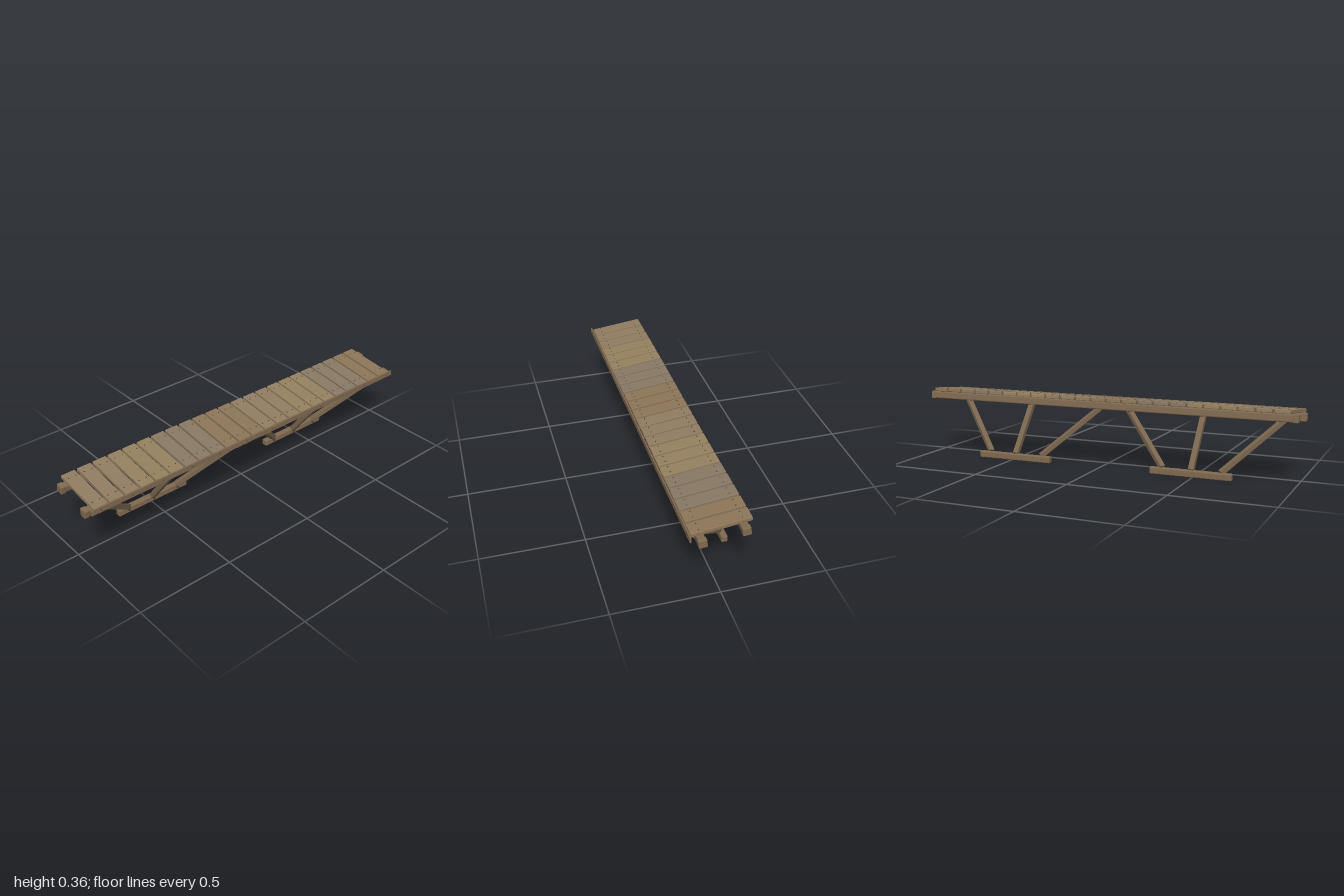
import * as THREE from 'three';
import { RoundedBoxGeometry } from 'three/addons/geometries/RoundedBoxGeometry.js';

const wood = (color) => new THREE.MeshStandardMaterial({ color, flatShading: true });
const beamWood = wood(0x806a50);
const braceWood = wood(0x7a664e);
const plankWoods = [0x8f7b60, 0x94805f, 0x887863, 0x8c7558].map(wood);
const iron = wood(0x4a4238);

// Timber with softly chamfered edges
function timber(name, size, position, material) {
  const radius = Math.min(...size) * 0.14;
  const mesh = new THREE.Mesh(new RoundedBoxGeometry(...size, 1, radius), material);
  mesh.name = name;
  mesh.position.set(...position);
  return mesh;
}

// Square timber running between two points
function strut(name, from, to, thickness) {
  const a = new THREE.Vector3(...from);
  const b = new THREE.Vector3(...to);
  const mesh = timber(name, [thickness, thickness, a.distanceTo(b)], [0, 0, 0], braceWood);
  mesh.position.copy(a).add(b).multiplyScalar(0.5);
  mesh.lookAt(b);
  return mesh;
}

// Short bolt head, axis along y or z
function bolt(name, position, radius, height, alongZ) {
  const mesh = new THREE.Mesh(new THREE.CylinderGeometry(radius, radius, height, 6), iron);
  mesh.name = name;
  mesh.position.set(...position);
  if (alongZ) mesh.rotation.x = Math.PI / 2;
  return mesh;
}

export function createModel() {
  const model = new THREE.Group();
  model.name = 'walkway';

  // Sloping deck: beams, planks and nails share one tilt
  const deck = new THREE.Group();
  deck.name = 'deck';
  deck.position.set(0, 0.336, -0.005);
  deck.rotation.x = 0.122;
  model.add(deck);

  for (const [name, z] of [['frontBeam', 0.098], ['backBeam', -0.098]]) {
    deck.add(timber(name, [1.99, 0.037, 0.036], [0, -0.03, z], beamWood));
    // Slightly wider bands at the beam ends
    for (const side of [-1, 1]) {
      deck.add(timber('beamEnd', [0.026, 0.041, 0.04], [side * 0.987, -0.03, z], beamWood));
    }
  }

  const count = 23;
  for (let i = 0; i < count; i++) {
    const x = -0.928 + i * 0.0843;
    const wobble = Math.sin(i * 12.9);
    const plank = timber('plank', [0.073, 0.019, 0.275 + 0.003 * wobble],
      [x, 0.001 * wobble, 0], plankWoods[(i * 7 + (i % 3)) % 4]);
    plank.rotation.y = 0.008 * Math.sin(i * 5.3);
    deck.add(plank);
    for (const z of [-0.098, 0.098]) {
      for (const dx of [-0.02, 0.02]) {
        deck.add(bolt('nail', [x + dx, 0.01, z], 0.0028, 0.004, false));
      }
    }
  }

  // Thin trim board along the low edge
  model.add(timber('trimBoard', [1.97, 0.028, 0.007], [0, 0.316, 0.14], beamWood));
  for (let i = 0; i < 12; i++) {
    model.add(bolt('trimNail', [-0.935 + i * 0.17, 0.316, 0.144], 0.003, 0.003, true));
  }

  // Two supports, each a skid with three raking braces
  for (const cx of [-0.487, 0.485]) {
    const support = new THREE.Group();
    support.name = 'support';
    support.position.x = cx;
    model.add(support);

    support.add(timber('skid', [0.417, 0.033, 0.031], [0, 0.0165, -0.125], beamWood));
    support.add(strut('middleBrace', [0, 0.029, -0.118], [0, 0.287, 0.084], 0.029));
    support.add(bolt('skidBolt', [0, 0.018, -0.107], 0.007, 0.007, true));

    for (const side of [-1, 1]) {
      support.add(strut('sideBrace', [side * 0.148, 0.031, -0.118], [side * 0.418, 0.288, 0.085], 0.028));
      support.add(bolt('skidBolt', [side * 0.15, 0.018, -0.107], 0.007, 0.007, true));
      // Cleats clasping the beam either side of the brace top
      for (const x of [0.385, 0.43]) {
        const cleat = timber('cleat', [0.018, 0.045, 0.042], [side * x, 0.292, 0.089], beamWood);
        cleat.rotation.x = 0.122;
        support.add(cleat);
      }
    }
  }

  // Bolts on the inner face of the back beam
  for (const x of [-0.9, -0.49, -0.08, 0.08, 0.49, 0.9]) {
    model.add(bolt('beamBolt', [x, 0.315, -0.087], 0.006, 0.008, true));
  }
  return model;
}
